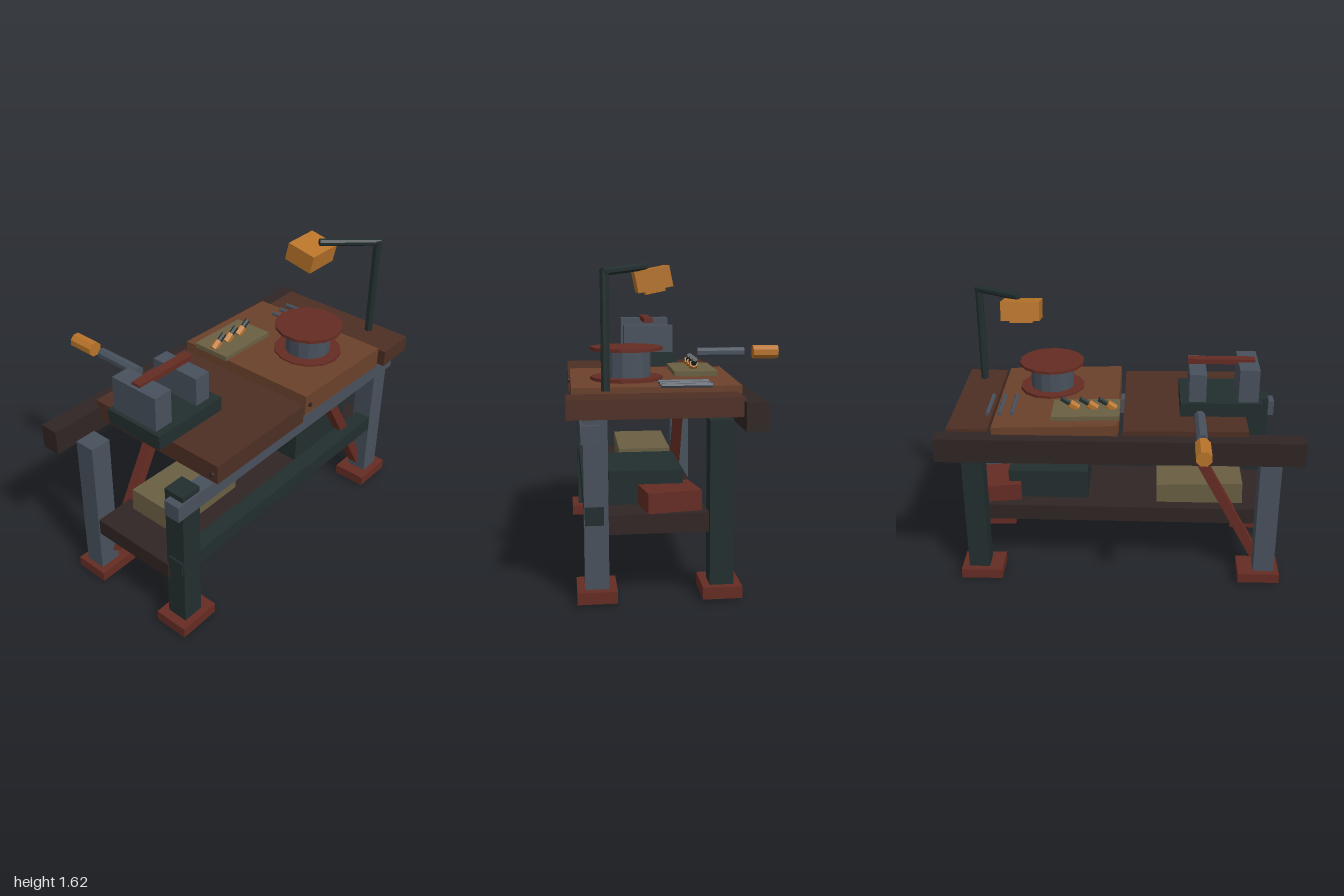
import * as THREE from 'three';

const paint = (name, color) => {
  const m = new THREE.MeshStandardMaterial({ color });
  m.name = name;
  m.flatShading = true;
  return m;
};

export function createModel() {
  const slate = paint('slate', 0x48515c);
  const green = paint('darkGreen', 0x222e2e);
  const red = paint('rustRed', 0x652c23);
  const orange = paint('orange', 0xb8742a);
  const tan = paint('tan', 0x6a5f43);
  const brown = paint('brown', 0x4d2f24);
  const midBrown = paint('midBrown', 0x6b412b);
  const dark = paint('darkPlum', 0x302524);

  const model = new THREE.Group();
  model.name = 'workbench';

  const add = (name, geo, mat, pos, rot = [0, 0, 0], parent = model) => {
    const mesh = new THREE.Mesh(geo, mat);
    mesh.name = name;
    mesh.position.set(...pos);
    mesh.rotation.set(...rot);
    parent.add(mesh);
    return mesh;
  };
  // box given by its ranges on x, y and z
  const box = (name, mat, [x0, x1], [y0, y1], [z0, z1], rot, parent) =>
    add(name, new THREE.BoxGeometry(x1 - x0, y1 - y0, z1 - z0), mat,
      [(x0 + x1) / 2, (y0 + y1) / 2, (z0 + z1) / 2], rot, parent);
  // flat-sided round bar between two points
  const bar = (name, mat, a, b, r, sides = 8, parent = model) => {
    const p = new THREE.Vector3(...a), q = new THREE.Vector3(...b);
    const d = q.clone().sub(p);
    const geo = new THREE.CylinderGeometry(r, r, d.length(), sides);
    geo.rotateY(Math.PI / sides);
    const mesh = add(name, geo, mat, p.add(q).multiplyScalar(0.5).toArray(), [0, 0, 0], parent);
    mesh.quaternion.setFromUnitVectors(new THREE.Vector3(0, 1, 0), d.normalize());
    return mesh;
  };

  // legs and feet
  const legs = [
    ['frontRight', green, -0.82, 0.515, 0.9], ['frontLeft', slate, 0.825, 0.513, 0.9],
    ['backRight', slate, -0.84, -0.09, 0.885], ['backLeft', green, 0.828, -0.088, 0.88],
  ];
  for (const [name, mat, x, z, h] of legs) {
    box(name + 'Leg', mat, [x - 0.06, x + 0.06], [0, h], [z - 0.058, z + 0.058]);
    const fx = Math.sign(x) * 0.81;
    box(name + 'Foot', red, [fx - 0.12, fx + 0.12], [0.012, 0.07], [z - 0.096, z + 0.096]);
  }

  // frame
  box('frontRail', slate, [-0.92, 0.92], [0.78, 0.87], [0.492, 0.583]);
  box('frontStretcher', green, [-0.89, 0.888], [0.385, 0.475], [0.477, 0.568]);
  box('backApron', dark, [-1, 1], [0.84, 0.977], [-0.287, -0.182]);
  box('shelf', dark, [-0.895, 0.86], [0.325, 0.42], [-0.03, 0.475], [0, 0, 0.005]);

  // diagonal braces
  const brace = (name, x0, y0, x1, y1, z) => add(name,
    new THREE.BoxGeometry(0.056, Math.hypot(x1 - x0, y1 - y0), 0.056), red,
    [(x0 + x1) / 2, (y0 + y1) / 2, z], [0, 0, -Math.atan2(x1 - x0, y1 - y0)]);
  brace('backBrace', -0.79, 0.13, -0.43, 0.79, -0.043);
  brace('frontBrace', 0.78, 0.12, 0.42, 0.735, 0.49);

  // table top boards
  box('rightBoard', brown, [-0.695, -0.018], [0.9, 1.005], [-0.21, 0.63], [0, 0, -0.006]);
  box('middleBoard', midBrown, [0.01, 0.692], [0.912, 1.028], [-0.22, 0.62], [0, 0, -0.03]);
  box('leftBoard', brown, [0.72, 0.945], [0.9, 0.993], [-0.19, 0.648], [0, 0, 0.015]);
  bar('boardPeg', dark, [0.045, 0.975, 0.6], [0.045, 0.975, 0.63], 0.012);
  bar('boardPeg', dark, [-0.71, 0.95, 0.6], [-0.68, 0.95, 0.6], 0.012);

  // boxes on the shelf
  box('tanCrate', tan, [-0.71, -0.21], [0.41, 0.54], [0.04, 0.34], [0, 0, -0.03]);
  box('greenCrate', green, [0.195, 0.66], [0.41, 0.595], [0.072, 0.443]);
  box('redCrate', red, [0.605, 0.835], [0.405, 0.525], [0.015, 0.285], [0, 0.17, 0]);

  // vise with its handle
  const vise = new THREE.Group();
  vise.name = 'vise';
  model.add(vise);
  box('viseBase', green, [-0.783, -0.33], [1.005, 1.085], [-0.02, 0.335], undefined, vise);
  box('fixedJaw', slate, [-0.76, -0.65], [1.08, 1.275], [0, 0.293], undefined, vise);
  box('movingJaw', slate, [-0.472, -0.378], [1.08, 1.245], [0, 0.293], undefined, vise);
  box('viseBar', red, [-0.742, -0.37], [1.262, 1.29], [0.12, 0.173], undefined, vise);
  bar('handleRod', slate, [-0.43, 1.075, -0.445], [-0.43, 1.075, -0.155], 0.031, 8, vise);
  bar('handleGrip', orange, [-0.43, 1.075, -0.655], [-0.43, 1.075, -0.5], 0.043, 8, vise);

  // spool
  const spool = new THREE.Group();
  spool.name = 'spool';
  spool.position.set(0.407, 0, 0.332);
  model.add(spool);
  const disc = (name, mat, r, y0, y1) => add(name,
    new THREE.CylinderGeometry(r, r, y1 - y0, 14), mat, [0, (y0 + y1) / 2, 0], [0, 0, 0], spool);
  disc('lowerFlange', red, 0.187, 1.022, 1.04);
  disc('spoolCore', slate, 0.125, 1.03, 1.178);
  disc('upperFlange', red, 0.187, 1.175, 1.192);

  // tray with three small tools
  box('tray', tan, [0.003, 0.375], [1.03, 1.057], [-0.148, 0.08], [0, 0, -0.02]);
  for (let i = 0; i < 3; i++) {
    const x = 0.028 + i * 0.103;
    bar('toolGrip', orange, [x, 1.055, -0.035], [x + 0.045, 1.085, -0.035], 0.024, 6);
    bar('toolShaft', green, [x + 0.035, 1.078, -0.035], [x + 0.09, 1.112, -0.035], 0.015, 6);
  }

  // loose rods
  for (const [x, y] of [[0.6, 1.03], [0.668, 1.028], [0.735, 1.028]]) {
    bar('looseRod', slate, [x, y, -0.065], [x, y, 0.187], 0.012, 6);
  }

  // lamp
  const lamp = new THREE.Group();
  lamp.name = 'lamp';
  model.add(lamp);
  bar('lampPost', green, [0.83, 1.02, 0.46], [0.83, 1.585, 0.46], 0.022, 8, lamp);
  bar('lampArm', green, [0.842, 1.573, 0.468], [0.575, 1.597, 0.25], 0.02, 8, lamp);
  const head = new THREE.Group();
  head.name = 'lampHead';
  head.position.set(0.553, 1.537, 0.213);
  head.rotation.x = 0.2;
  lamp.add(head);
  add('lampShade', new THREE.BoxGeometry(0.212, 0.104, 0.173), orange, [0, 0, 0], [0, 0, 0], head);
  add('lampLens', new THREE.BoxGeometry(0.125, 0.02, 0.1), orange, [0, -0.058, 0], [0, 0, 0], head);

  return model;
}
